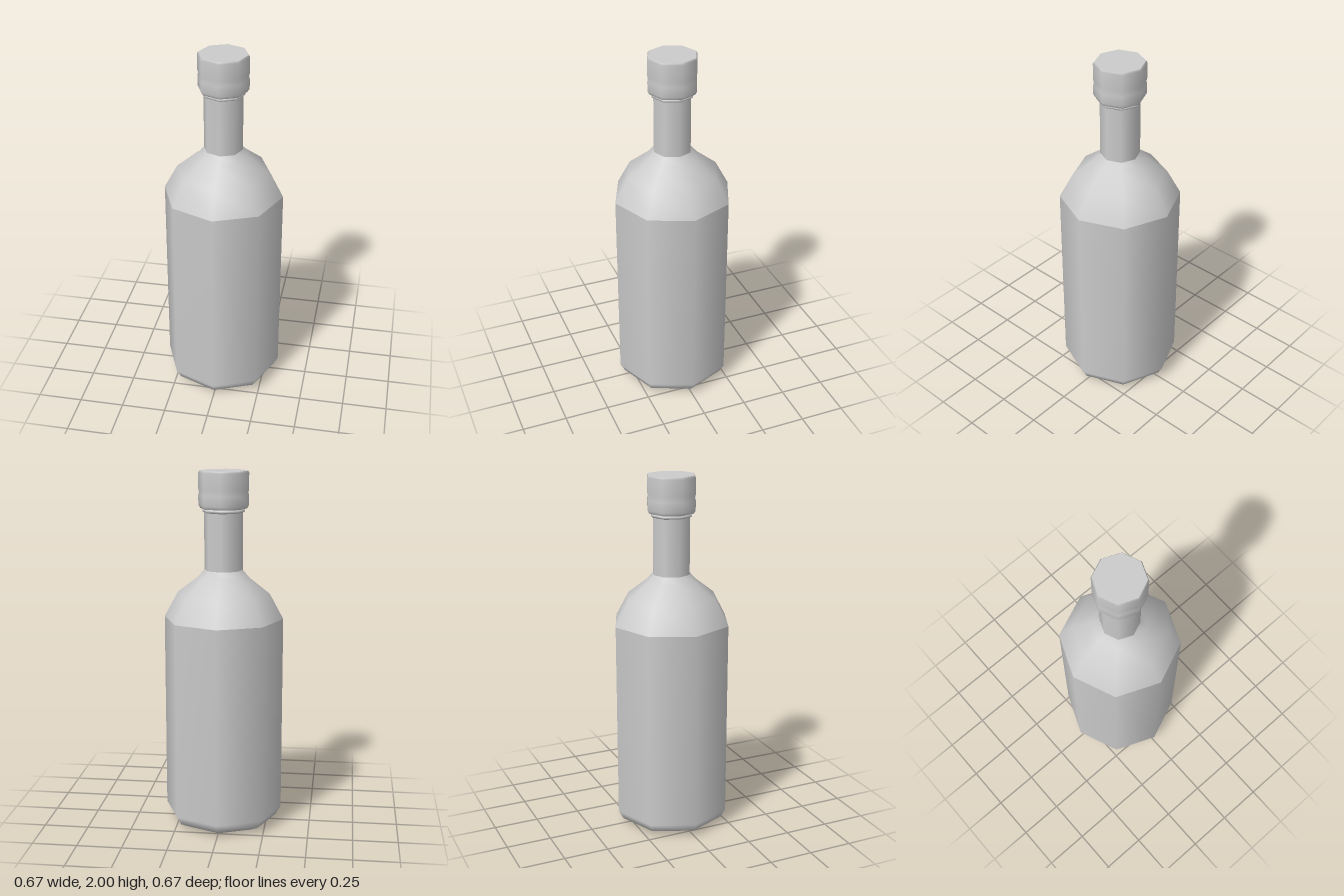
import * as THREE from 'three';

const material = new THREE.MeshStandardMaterial({ color: 0xcccccc });

// Eight-sided turned part from [radius, height] pairs, listed bottom to top
function turned(name, profile) {
  const points = profile.map(([r, y]) => new THREE.Vector2(r, y));
  const mesh = new THREE.Mesh(new THREE.LatheGeometry(points, 8), material);
  mesh.name = name;
  return mesh;
}

export function createModel() {
  const bottle = new THREE.Group();
  bottle.name = 'bottle';

  bottle.add(
    // Flat underside, then the bevelled foot and straight body
    turned('underside', [[0, 0], [0.245, 0]]),
    turned('body', [[0.245, 0], [0.305, 0.03], [0.333, 0.08], [0.333, 1.19]]),

    // Rounded shoulder flowing into the neck
    turned('shoulder', [[0.333, 1.19], [0.257, 1.33], [0.142, 1.42], [0.107, 1.46]]),
    turned('neck', [[0.107, 1.46], [0.107, 1.775]]),

    // Thin ring below the cap
    turned('neckRing', [[0.107, 1.775], [0.117, 1.78], [0.117, 1.79], [0.107, 1.797]]),

    // Cap with a shallow groove around its middle
    turned('capUnderside', [[0.1, 1.797], [0.128, 1.797]]),
    turned('cap', [
      [0.128, 1.797], [0.139, 1.815], [0.139, 1.87], [0.135, 1.885],
      [0.139, 1.9], [0.139, 1.99], [0.133, 2],
    ]),
    turned('capTop', [[0.133, 2], [0, 2]]),
  );

  return bottle;
}
